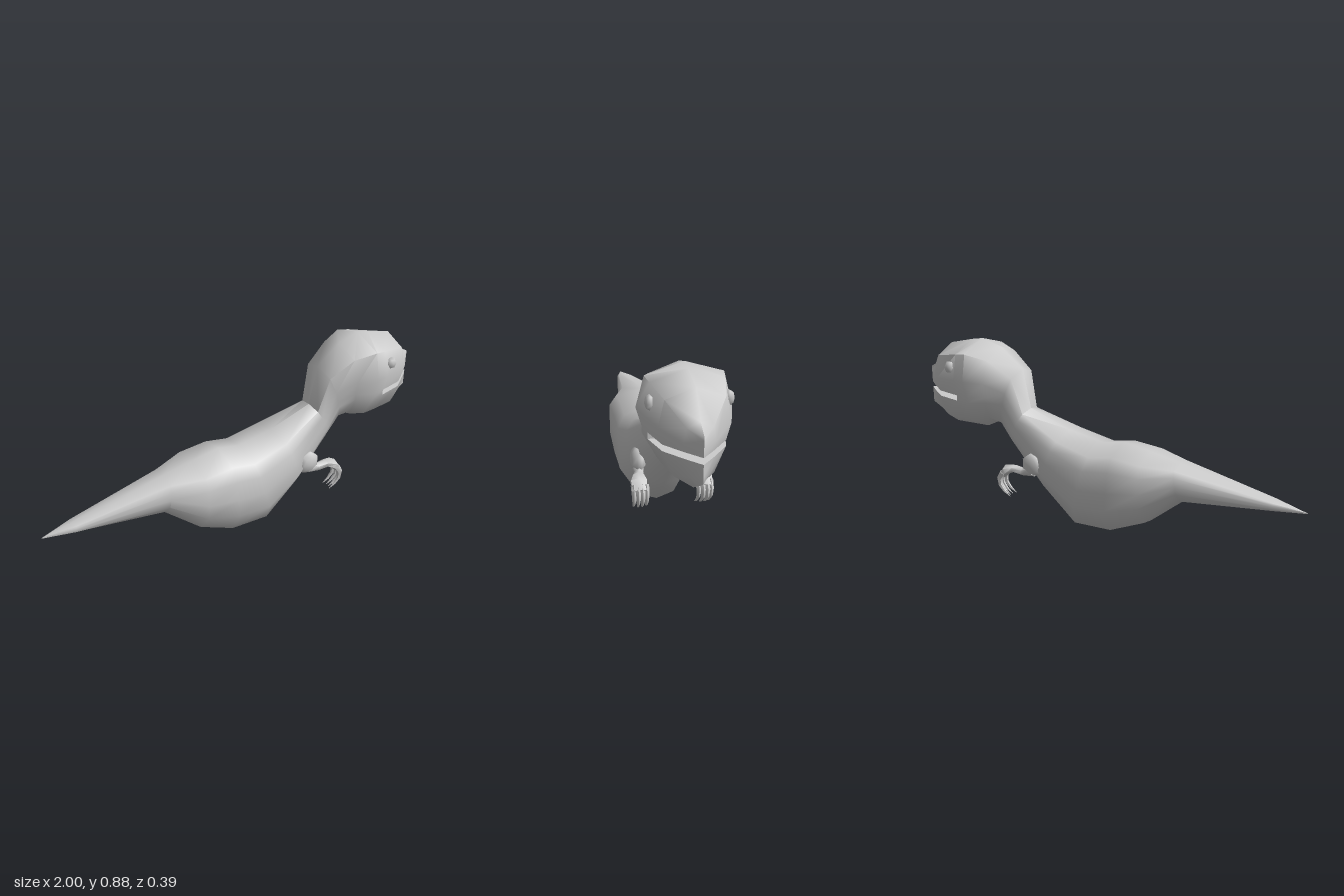
import * as THREE from 'three';
import { toCreasedNormals } from 'three/addons/utils/BufferGeometryUtils.js';

const material = new THREE.MeshStandardMaterial({ color: 0xcccccc });
const lerp = THREE.MathUtils.lerp;

function makeGeometry(points, index, crease) {
  const g = new THREE.BufferGeometry();
  g.setAttribute('position', new THREE.Float32BufferAttribute(points, 3));
  g.setIndex(index);
  return toCreasedNormals(g, crease);
}

function addMesh(parent, name, geometry) {
  const m = new THREE.Mesh(geometry, material);
  m.name = name;
  parent.add(m);
  return m;
}

// Body stations, tail to snout: top x, y, bottom x, y, half width, head blend
const stations = [
  [-1, 0.275, -1, 0.272, 0, 0],
  [-0.85, 0.308, -0.85, 0.261, 0.04, 0],
  [-0.4, 0.405, -0.43, 0.225, 0.10, 0],
  [-0.25, 0.435, -0.26, 0.085, 0.17, 0],
  [-0.11, 0.46, -0.08, 0.003, 0.17, 0],
  [0, 0.44, 0.12, 0.003, 0.17, 0],
  [0.18, 0.475, 0.30, 0.17, 0.155, 0],
  [0.4, 0.555, 0.5, 0.375, 0.085, 0.2],
  [0.44, 0.75, 0.55, 0.45, 0.115, 0.7],
  [0.56, 0.845, 0.6, 0.455, 0.15, 1],
  [0.67, 0.88, 0.66, 0.425, 0.193, 1],
  [0.73, 0.87, 0.73, 0.425, 0.18, 1],
  [0.86, 0.84, 0.85, 0.425, 0.142, 1],
  [0.94, 0.735, 0.94, 0.475, 0.062, 1],
  [1, 0.70, 1, 0.51, 0, 1],
];
const MOUTH = 11; // station at the corner of the mouth
const bodyT = [0, 0.08, 0.22, 0.45, 0.65, 0.94, 1];
const bodyW = [0, 0.8, 1, 1, 1, 0.5, 0];
const headW = [0, 0.83, 1, 0.87, 0.87, 0.57, 0];

// One ring: down the left side, then mirrored back up the right side
function ring([tx, ty, bx, by, w, k]) {
  const upper = 0.617, lower = 0.59;
  const headY = [ty, lerp(ty, upper, 0.19), lerp(ty, upper, 0.68), upper, lower, lerp(lower, by, 0.65), by];
  const headT = [0, 0.11, 0.4, 0.585, 0.645, 0.88, 1];
  const half = bodyT.map((bt, j) => {
    const t = lerp(bt, headT[j], k);
    const y = k === 1 ? headY[j] : lerp(ty, by, t);
    return [lerp(tx, bx, t), y, w * lerp(bodyW[j], headW[j], k)];
  });
  const mirrored = half.slice(1, 6).reverse().map(([x, y, z]) => [x, y, -z]);
  return [...half, ...mirrored];
}

function bodyGeometry() {
  const points = stations.flatMap(ring).flat();
  const index = [];
  const strip = (i, j, n) => {
    const a = i * 12 + j, d = i * 12 + n;
    index.push(a, d, a + 12, d, d + 12, a + 12);
  };
  for (let i = 0; i < stations.length - 1; i++) {
    for (let j = 0; j < 12; j++) {
      if (i >= MOUTH && (j === 3 || j === 8)) continue; // open mouth
      strip(i, j, (j + 1) % 12);
    }
    if (i >= MOUTH) {
      strip(i, 3, 9); // palate
      strip(i, 8, 4); // floor of the mouth
    }
  }
  // back of the mouth
  const m = MOUTH * 12;
  index.push(m + 3, m + 4, m + 8, m + 3, m + 8, m + 9);
  return makeGeometry(points, index, 1.0);
}

// Tapered limb along [x, y, z, radius, z radius], capped at both ends
function limb(path, sides = 6) {
  const points = [], index = [];
  path.forEach(([x, y, z, r, rz], i) => {
    const p = path[Math.max(i - 1, 0)], q = path[Math.min(i + 1, path.length - 1)];
    const dx = q[0] - p[0], dy = q[1] - p[1], l = Math.hypot(dx, dy);
    for (let j = 0; j < sides; j++) {
      const a = (j / sides) * Math.PI * 2;
      const c = Math.cos(a) * r;
      points.push(x - (dy / l) * c, y + (dx / l) * c, z + Math.sin(a) * rz);
    }
  });
  for (let i = 0; i < path.length - 1; i++) {
    for (let j = 0; j < sides; j++) {
      const a = i * sides + j, d = i * sides + ((j + 1) % sides);
      index.push(a, d, a + sides, d, d + sides, a + sides);
    }
  }
  const end = (path.length - 1) * sides;
  for (let j = 1; j < sides - 1; j++) {
    index.push(0, j + 1, j, end, end + j, end + j + 1);
  }
  return makeGeometry(points, index, 1.1);
}

function smoothBall(sides, rows) {
  return new THREE.SphereGeometry(1, sides, rows);
}

export function createModel() {
  const model = new THREE.Group();
  model.name = 'dinosaur';
  addMesh(model, 'body', bodyGeometry());

  for (const s of [1, -1]) {
    const side = s > 0 ? 'left' : 'right';

    // Eye
    const eye = addMesh(model, side + 'Eye', smoothBall(6, 4).rotateX(Math.PI / 2));
    eye.scale.set(0.03, 0.033, 0.022);
    eye.position.set(0.765, 0.755, s * 0.155);

    // Arm
    const arm = new THREE.Group();
    arm.name = side + 'Arm';
    model.add(arm);
    const shoulder = addMesh(arm, 'shoulder', smoothBall(7, 5).rotateX(Math.PI / 2));
    shoulder.scale.set(0.062, 0.062, 0.036);
    shoulder.position.set(0.318, 0.312, s * 0.125);
    addMesh(arm, 'forearm', limb([
      [0.32, 0.285, s * 0.125, 0.035, 0.03],
      [0.375, 0.268, s * 0.13, 0.021, 0.022],
      [0.42, 0.28, s * 0.14, 0.019, 0.026],
      [0.455, 0.272, s * 0.145, 0.024, 0.04],
      [0.485, 0.238, s * 0.145, 0.017, 0.038],
    ]));

    // Curved claws, fanned across the hand
    for (const [z, reach] of [[0.115, 0], [0.134, 0.008], [0.153, 0.008], [0.171, 0]]) {
      addMesh(arm, 'claw', limb([
        [0.468, 0.26, s * z, 0.016, 0.013],
        [0.489 + reach, 0.225, s * z, 0.014, 0.012],
        [0.485 + reach, 0.19, s * z, 0.011, 0.009],
        [0.462 + reach, 0.16, s * (z - 0.002), 0.007, 0.006],
        [0.432 + reach, 0.138, s * (z - 0.004), 0.001, 0.001],
      ], 5));
    }
  }
  return model;
}
